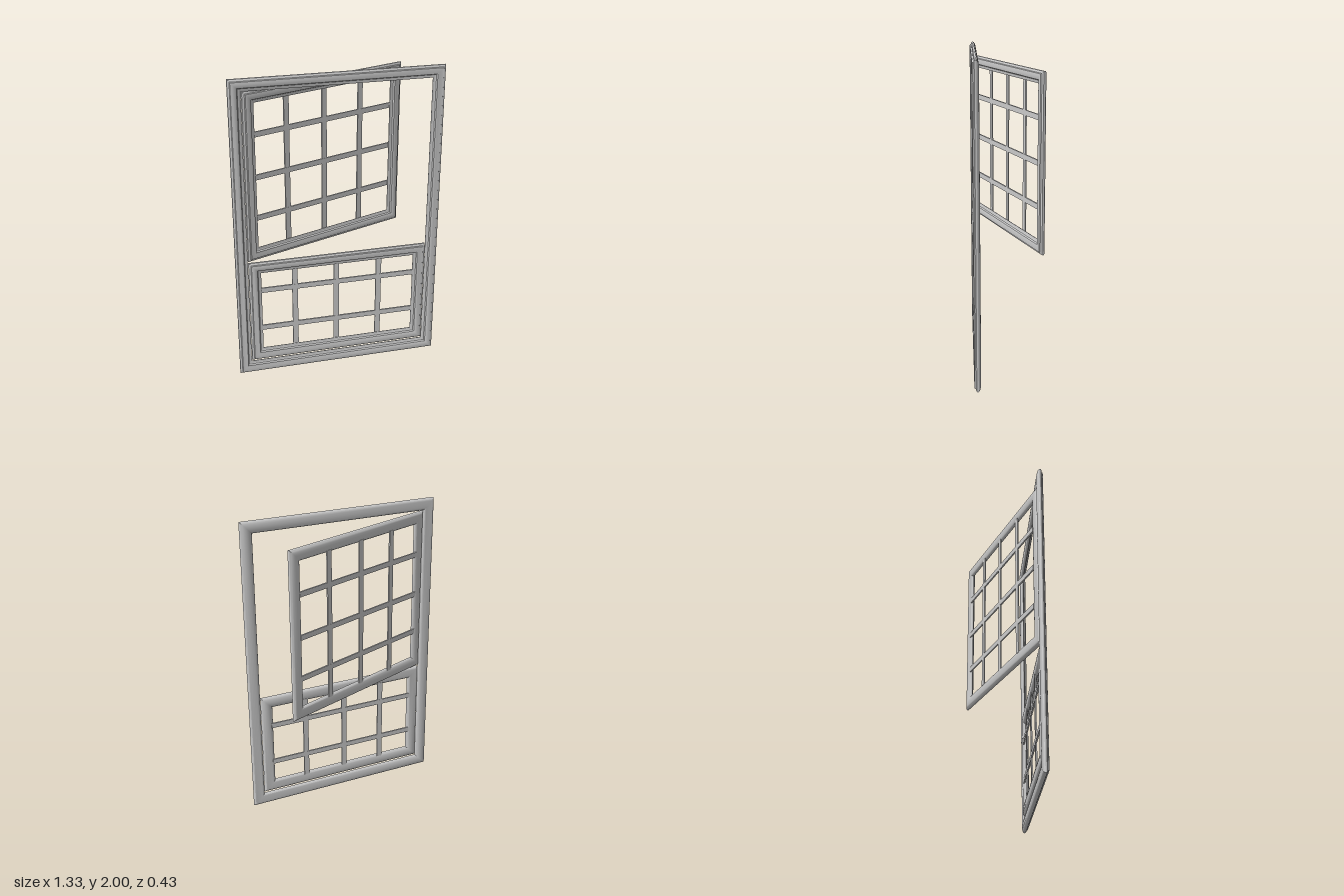
import * as THREE from 'three';
import { toCreasedNormals } from 'three/addons/utils/BufferGeometryUtils.js';

const material = new THREE.MeshStandardMaterial({ color: 0xcccccc });
const RAIL = 0.08; // width of every moulded rail

// Rail section as [inset from outer edge, depth]: stepped front, then a rounded back
const section = [
  [0, 0], [0.002, 0.006], [0.008, 0.01], [0.015, 0.012], [0.018, 0.019], [0.03, 0.021],
  [0.046, 0.02], [0.055, 0.016], [0.06, 0.006], [0.068, 0.002], [0.077, 0.002],
];
for (let i = 0; i < 12; i++) {
  const a = (i / 12) * Math.PI;
  section.push([RAIL / 2 + Math.cos(a) * RAIL / 2, -0.021 * Math.sin(a)]);
}

// Sweep the section round a rectangle with mitred corners
function mitredFrame(width, height) {
  const corners = [[-1, -1], [1, -1], [1, 1], [-1, 1]];
  const point = ([sx, sy], [inset, z]) => [sx * (width / 2 - inset), sy * (height / 2 - inset), z];
  const positions = [];
  corners.forEach((from, c) => {
    const to = corners[(c + 1) % 4];
    section.forEach((p, i) => {
      const q = section[(i + 1) % section.length];
      const a = point(from, p), b = point(to, p), d = point(to, q), e = point(from, q);
      positions.push(...a, ...b, ...d, ...a, ...d, ...e);
    });
  });
  const geometry = new THREE.BufferGeometry();
  geometry.setAttribute('position', new THREE.Float32BufferAttribute(positions, 3));
  return toCreasedNormals(geometry, 0.6);
}

function addMesh(parent, name, geometry, x = 0, y = 0, z = 0) {
  const mesh = new THREE.Mesh(geometry, material);
  mesh.name = name;
  mesh.position.set(x, y, z);
  parent.add(mesh);
}

// Sash: moulded frame plus a grid of thin glazing bars near the back
function makeSash(name, width, height, barXs, barYs) {
  const sash = new THREE.Group();
  sash.name = name;
  addMesh(sash, name + 'Frame', mitredFrame(width, height));
  const overlap = 2 * RAIL - 0.03;
  for (const x of barXs) {
    addMesh(sash, 'verticalBar', new THREE.BoxGeometry(0.036, height - overlap, 0.009), x, 0, -0.0135);
  }
  for (const y of barYs) {
    addMesh(sash, 'horizontalBar', new THREE.BoxGeometry(width - overlap, 0.034, 0.01), 0, y, -0.0135);
  }
  return sash;
}

export function createModel() {
  const model = new THREE.Group();
  model.name = 'window';
  const z = 0.195;

  addMesh(model, 'outerFrame', mitredFrame(1.334, 2), 0, 1, z);

  // Fixed lower sash
  const lower = makeSash('lowerSash', 1.17, 0.715, [-0.285, -0.01, 0.275], [-0.13, 0.145]);
  lower.position.set(0, 0.448, z);
  model.add(lower);

  // Upper sash swung backwards about its hinge edge
  const hinge = new THREE.Group();
  hinge.name = 'upperSashHinge';
  hinge.position.set(-0.585, 1.368, z);
  hinge.rotation.y = THREE.MathUtils.degToRad(20);
  const upper = makeSash('upperSash', 1.17, 1.105, [-0.275, 0, 0.275], [-0.276, -0.006, 0.27]);
  upper.position.x = 0.585;
  hinge.add(upper);
  model.add(hinge);

  return model;
}
